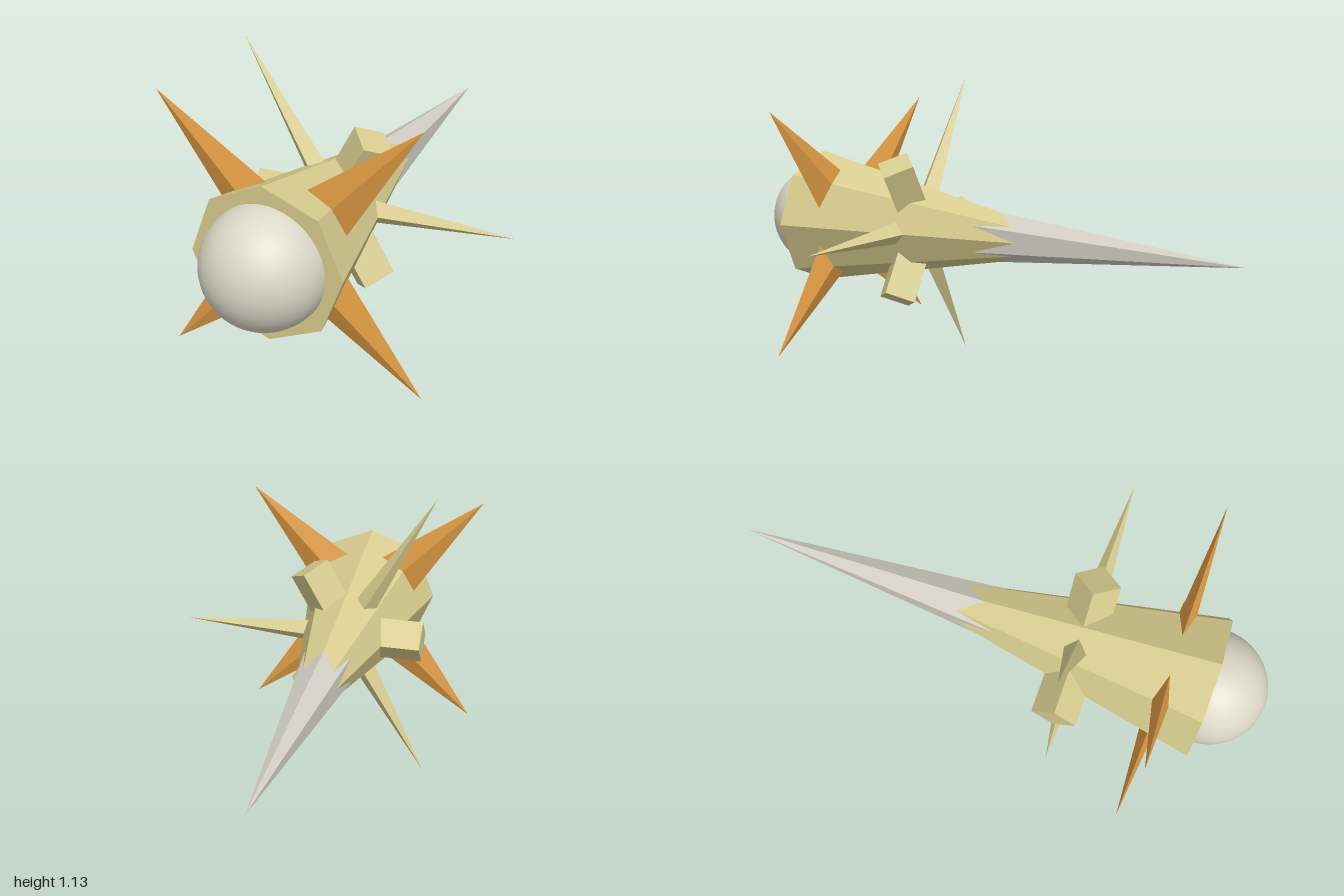
import * as THREE from 'three';

const flat = (name, color) => {
  const m = new THREE.MeshStandardMaterial({ color, flatShading: true });
  m.name = name;
  return m;
};

export function createModel() {
  const cream = flat('cream', 0xd8cc8e);
  const orange = flat('orange', 0xe09c44);
  const grey = flat('paleGrey', 0xd2cec4);
  const pearl = new THREE.MeshStandardMaterial({ color: 0xdcd8c8 });
  pearl.name = 'pearl';

  const model = new THREE.Group();
  model.name = 'spikedDart';
  // everything is built around a long axis running along z
  const axis = new THREE.Group();
  axis.name = 'axis';
  axis.position.set(-0.1, 0.57, 0);
  model.add(axis);

  const add = (name, geometry, material) => {
    const mesh = new THREE.Mesh(geometry, material);
    mesh.name = name;
    axis.add(mesh);
    return mesh;
  };

  // tapered prism along z, from zFront back to zBack
  const taper = (rFront, rBack, zFront, zBack, sides) =>
    new THREE.CylinderGeometry(rBack, rFront, zFront - zBack, sides)
      .rotateX(-Math.PI / 2)
      .translate(0, 0, (zFront + zBack) / 2);

  // four-sided part pointing outward from the axis at a given angle
  const radial = (name, material, degrees, z, rIn, rOut, from, to, squash = 1) => {
    const geometry = new THREE.CylinderGeometry(rOut, rIn, to - from, 4)
      .scale(1, 1, squash)
      .translate(0, (from + to) / 2, 0);
    const mesh = add(name, geometry, material);
    mesh.rotation.z = THREE.MathUtils.degToRad(degrees - 90);
    mesh.position.z = z;
  };

  // octagonal body, six-sided tail point and round nose
  add('body', taper(0.268, 0.065, 0.79, -0.2, 8), cream);
  add('tailPoint', taper(0.1, 0, 0, -1, 6), grey);
  add('nose', new THREE.SphereGeometry(0.207, 48, 32).translate(0, 0, 0.79), pearl);

  // four flattened front spikes
  for (const a of [45, 135, 225, 315]) radial('frontSpike', orange, a, 0.64, 0.098, 0, 0.18, 0.655, 0.34);

  // ring of alternating slim spikes and square pegs
  for (const a of [0, 120, 240]) {
    radial('slimSpike', cream, a, 0.31, 0.046, 0, 0.1, 0.653);
    radial('peg', cream, a + 60, 0.31, 0.082, 0.082, 0.1, 0.298);
  }

  return model;
}
